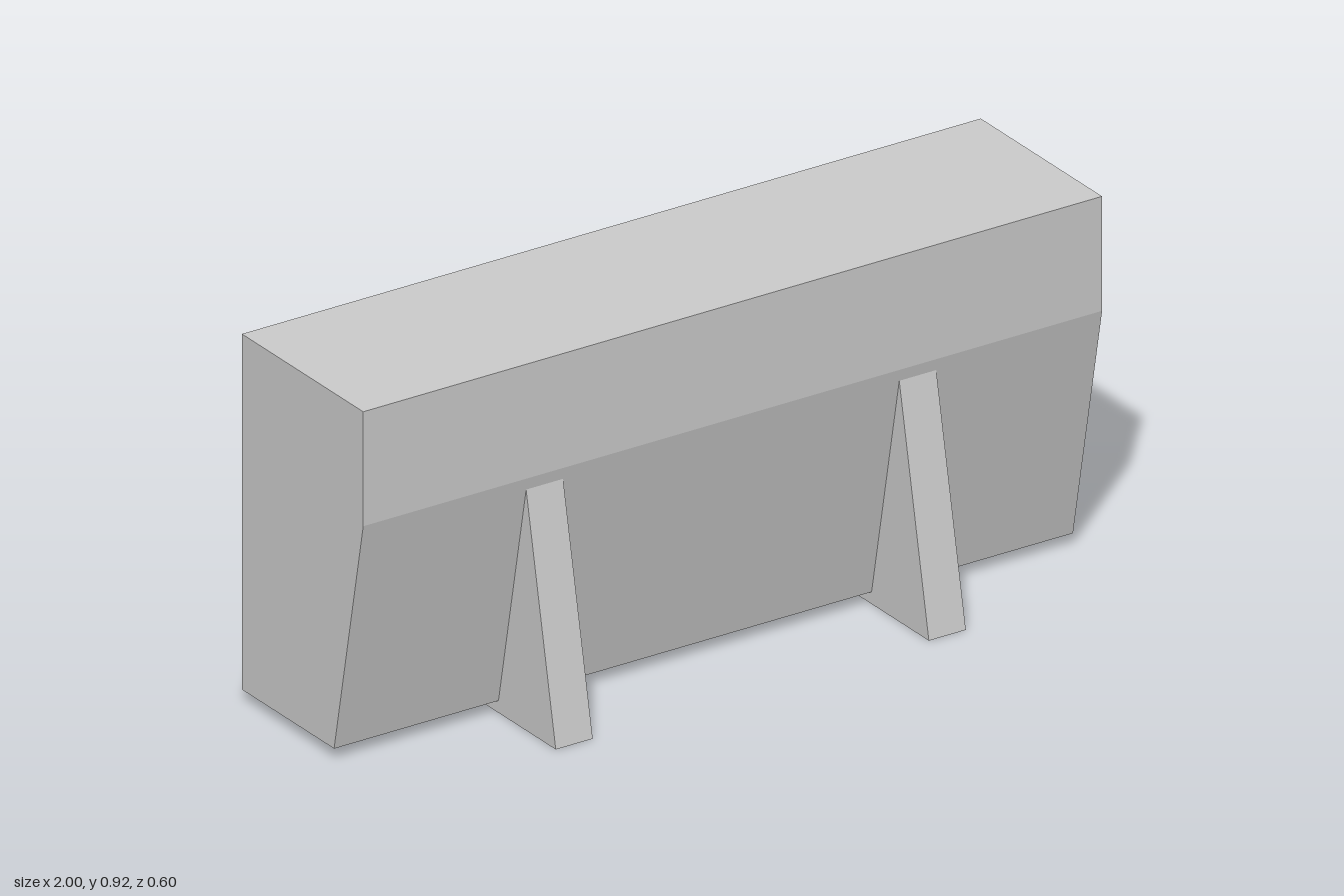
import * as THREE from 'three';

const material = new THREE.MeshStandardMaterial({ color: 0xcccccc, flatShading: true });

// Side profile given as [z, y] points, extruded along x and centred on the given x
function slab(name, profile, width, x) {
  const shape = new THREE.Shape(profile.map(([z, y]) => new THREE.Vector2(z, y)));
  const geometry = new THREE.ExtrudeGeometry(shape, { depth: width, bevelEnabled: false });
  geometry.translate(0, 0, -width / 2);
  geometry.rotateY(-Math.PI / 2);
  const mesh = new THREE.Mesh(geometry, material);
  mesh.name = name;
  mesh.position.x = x;
  return mesh;
}

export function createModel() {
  const model = new THREE.Group();
  model.name = 'cabinet';

  // Long body with an undercut lower front
  const body = [[-0.3, 0.03], [0.07, 0.03], [0.187, 0.63], [0.187, 0.915], [-0.3, 0.915]];
  model.add(slab('body', body, 2, 0));

  // Two wedge supports that run into the undercut and under the body
  const support = [[-0.033, 0], [0.3, 0], [0.181, 0.6], [-0.033, 0.6]];
  for (const [side, name] of [[1, 'leftSupport'], [-1, 'rightSupport']]) {
    model.add(slab(name, support, 0.1, side * 0.505));
  }
  return model;
}
